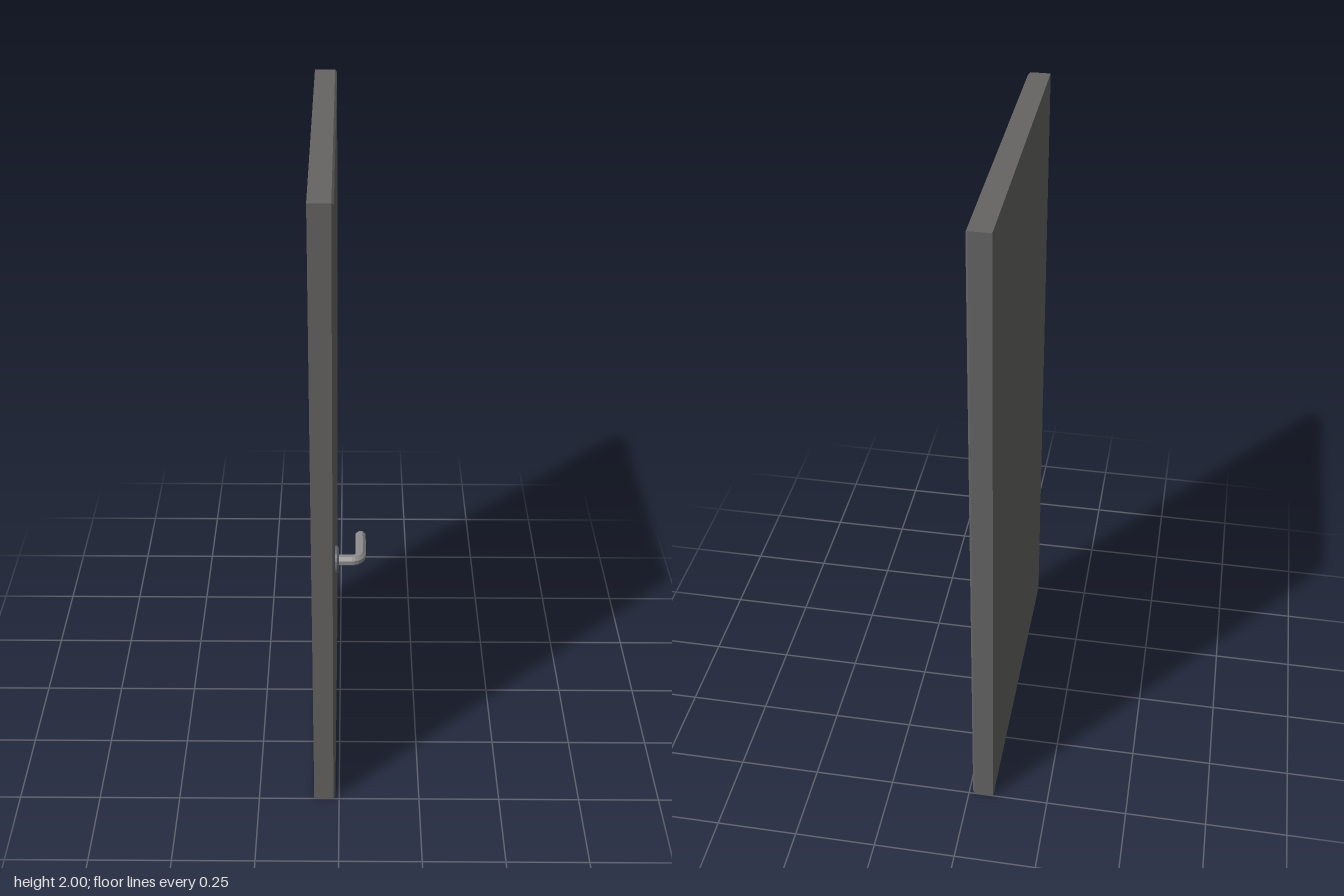
import * as THREE from 'three';

const material = (color) => new THREE.MeshStandardMaterial({ color, flatShading: true });

function addPart(group, name, geometry, color) {
  const mesh = new THREE.Mesh(geometry, material(color));
  mesh.name = name;
  group.add(mesh);
  return mesh;
}

// Slab: a box whose +x face is inset to leave a small bevel
function slabGeometry() {
  const back = -0.078, front = -0.012, bevel = 0.006;
  const g = new THREE.BoxGeometry(2, 2, 1, 2, 1, 1);
  const p = g.attributes.position;
  for (let i = 0; i < p.count; i++) {
    const x = p.getX(i), inset = x > 0.5 ? bevel : 0;
    p.setXYZ(i,
      x < -0.5 ? back : x > 0.5 ? front : front - bevel,
      p.getY(i) + 1 - Math.sign(p.getY(i)) * inset,
      p.getZ(i) - Math.sign(p.getZ(i)) * inset);
  }
  g.computeVertexNormals();
  return g;
}

// Lever: octagonal rings swept out of the door, round a bend and along -z
function leverGeometry(y, z) {
  const sides = 8, radius = 0.0164, bend = 0.025, reach = 0.062;
  const rings = [{ x: -0.008, z, a: 0, r: radius }];
  for (let i = 0; i <= 6; i++) {
    const a = (i / 6) * Math.PI / 2;
    rings.push({
      x: reach - bend + bend * Math.sin(a),
      z: z - bend + bend * Math.cos(a), a, r: radius,
    });
  }
  // Rounded tip
  for (const [tipZ, s] of [[0.25, 1], [0.243, 0.8], [0.2395, 0.45], [0.2385, 0]])
    rings.push({ x: reach, z: tipZ, a: Math.PI / 2, r: radius * s });

  const pos = [], index = [];
  rings.forEach((ring, j) => {
    for (let k = 0; k < sides; k++) {
      const t = ((k + 0.5) / sides) * Math.PI * 2;
      const out = ring.r * Math.cos(t);
      pos.push(ring.x + Math.sin(ring.a) * out, y + ring.r * Math.sin(t), ring.z + Math.cos(ring.a) * out);
      if (j === rings.length - 1) continue;
      const a = j * sides + k, b = j * sides + (k + 1) % sides;
      index.push(a, a + sides, b, b, a + sides, b + sides);
    }
  });
  const g = new THREE.BufferGeometry();
  g.setAttribute('position', new THREE.Float32BufferAttribute(pos, 3));
  g.setIndex(index);
  g.computeVertexNormals();
  return g;
}

export function createModel() {
  const group = new THREE.Group();
  group.name = 'door';
  const handleY = 0.838, handleZ = 0.369;

  addPart(group, 'doorSlab', slabGeometry(), 0x656463);

  // Round plate behind the lever, with a bevelled rim
  const profile = [[0.042, 0], [0.042, 0.007], [0.037, 0.012], [0, 0.012]]
    .map(([r, h]) => new THREE.Vector2(r, h));
  const plate = addPart(group, 'handlePlate', new THREE.LatheGeometry(profile, 24), 0x5f636b);
  plate.rotation.z = -Math.PI / 2;
  plate.position.set(-0.013, handleY, handleZ);

  addPart(group, 'handleLever', leverGeometry(handleY, handleZ), 0x8c8c8c);
  return group;
}
